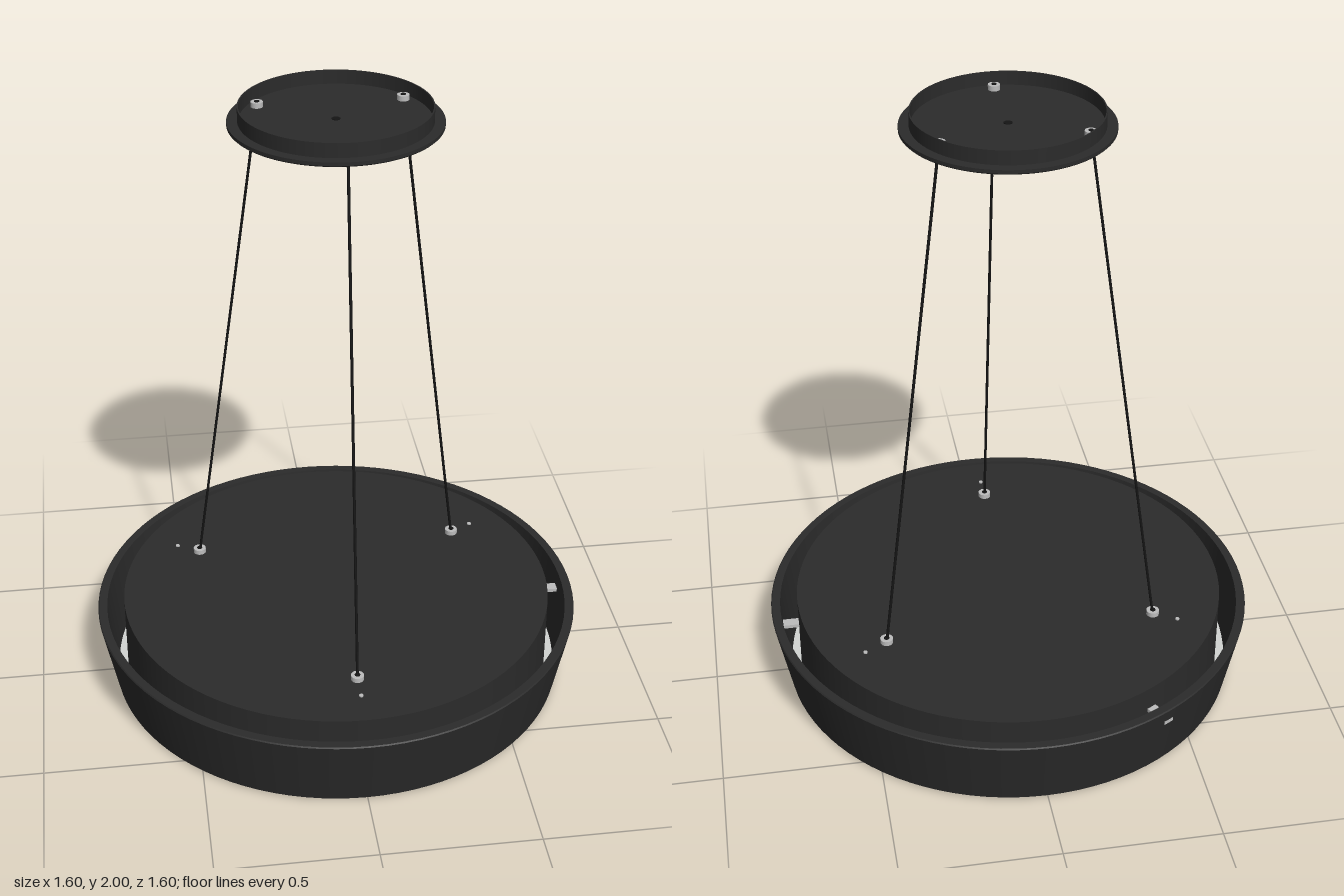
import * as THREE from 'three';

const mat = (name, color, extra = {}) => new THREE.MeshStandardMaterial({ name, color, ...extra });

export function createModel() {
  const black = mat('matte black', 0x2b2b2b);
  const cableBlack = mat('cable black', 0x141414);
  const diffuserWhite = mat('diffuser white', 0xd2d4d2);
  const steel = mat('steel', 0xbdbdbd);

  const root = new THREE.Group();
  root.name = 'pendantLamp';

  const add = (name, geometry, material, parent = root) => {
    const mesh = new THREE.Mesh(geometry, material);
    mesh.name = name;
    parent.add(mesh);
    return mesh;
  };
  const disc = (name, r, y0, y1, material, parent = root, x = 0, z = 0, sides = 96) => {
    const mesh = add(name, new THREE.CylinderGeometry(r, r, y1 - y0, sides), material, parent);
    mesh.position.set(x, (y0 + y1) / 2, z);
    return mesh;
  };
  // Turned ring from straight profile segments, each with its own hard edges
  const turned = (name, profile, material) => {
    const group = new THREE.Group();
    group.name = name;
    for (let i = 0; i < profile.length - 1; i++) {
      const pts = [profile[i], profile[i + 1]].map(([r, y]) => new THREE.Vector2(r, y));
      add(name + 'Face', new THREE.LatheGeometry(pts, 96), material, group);
    }
    root.add(group);
  };

  // Tapered outer shade with a thin wall and a small bottom lip
  turned('shade', [
    [0.722, 0.012], [0.722, 0], [0.745, 0], [0.752, 0.006], [0.8, 0.246], [0.797, 0.25],
    [0.77, 0.25], [0.742, 0.012], [0.722, 0.012],
  ], black);

  // Diffuser panel, and the drum that sits inside the shade
  disc('diffuser', 0.741, 0.006, 0.022, diffuserWhite);
  disc('drum', 0.712, 0.022, 0.28, black);

  // Open ceiling canopy: flange, floor and upright wall
  turned('canopy', [
    [0, 1.94], [0.318, 1.94], [0.322, 1.944], [0.322, 1.955], [0.29, 1.955], [0.29, 2],
    [0.286, 2], [0.286, 1.956], [0, 1.956],
  ], black);
  disc('canopyKnob', 0.014, 1.912, 1.942, black, root, 0, 0, 20);
  disc('canopyCentreHole', 0.013, 1.955, 1.958, cableBlack, root, 0, 0, 20);

  // Three suspension sets: cable, grippers and a small screw
  for (let i = 0; i < 3; i++) {
    const set = new THREE.Group();
    set.name = 'suspension' + (i + 1);
    set.rotation.y = (i * Math.PI * 2) / 3;
    root.add(set);

    const path = new THREE.LineCurve3(new THREE.Vector3(0, 0.28, 0.51), new THREE.Vector3(0, 1.965, 0.255));
    add('cable', new THREE.TubeGeometry(path, 1, 0.0045, 8), cableBlack, set);
    disc('lowerGripper', 0.021, 0.279, 0.296, steel, set, 0, 0.51, 16);
    disc('lowerGripperBore', 0.009, 0.295, 0.298, cableBlack, set, 0, 0.51, 12);
    disc('upperGripper', 0.019, 1.955, 1.972, steel, set, 0, 0.255, 16);
    disc('upperGripperBore', 0.008, 1.971, 1.974, cableBlack, set, 0, 0.255, 12);
    disc('drumScrew', 0.007, 0.279, 0.284, steel, set, 0, 0.595, 12);
  }

  // Two locating pins crossing the gap between drum and shade
  for (const angle of [0, (Math.PI * 2) / 3]) {
    const pin = new THREE.Group();
    pin.name = 'shadePin';
    pin.rotation.y = angle;
    root.add(pin);
    add('pinBar', new THREE.BoxGeometry(0.08, 0.012, 0.034), steel, pin).position.set(0.752, 0.195, 0);
  }

  return root;
}
